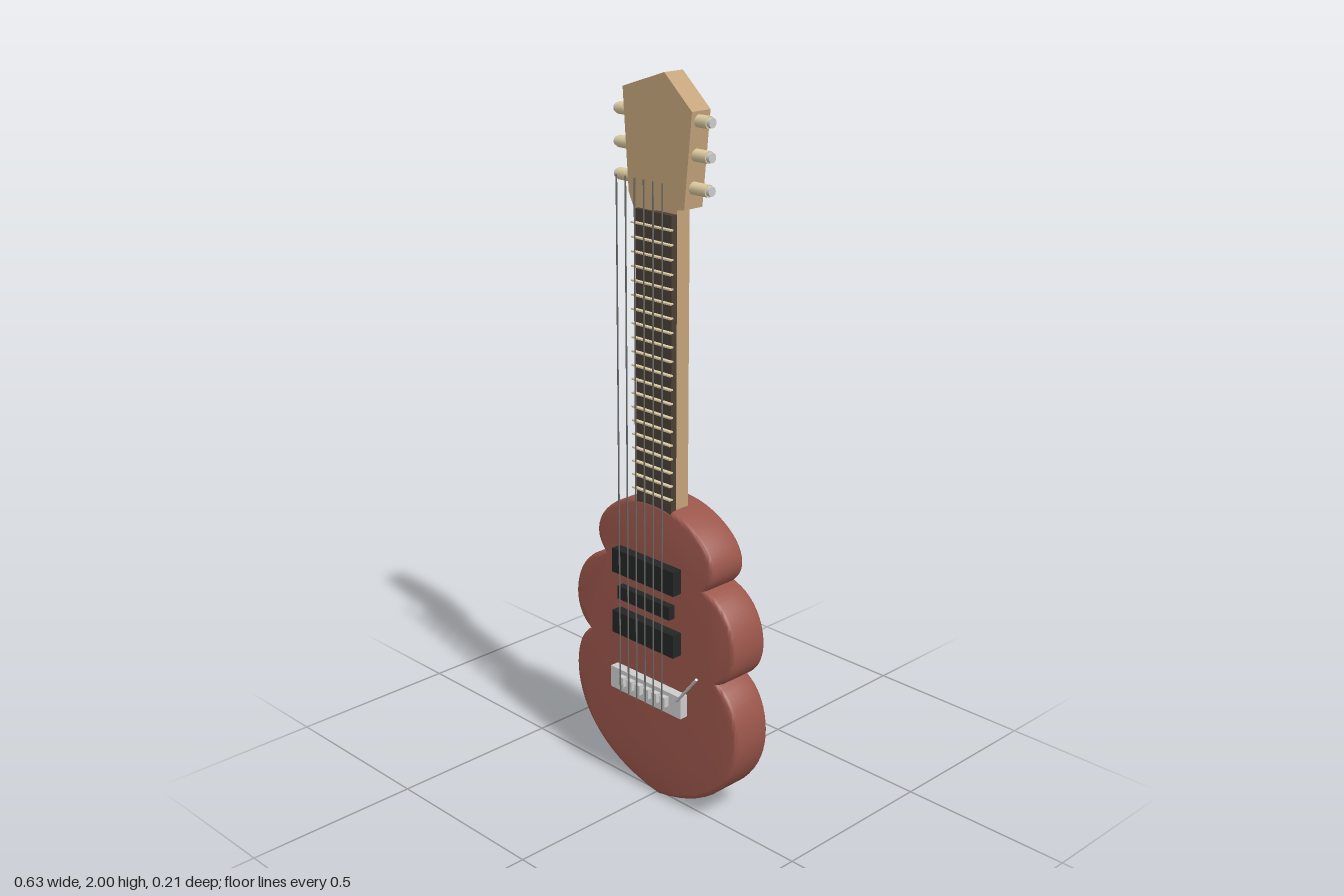
import * as THREE from 'three';
import { toCreasedNormals } from 'three/addons/utils/BufferGeometryUtils.js';

const mat = (color) => new THREE.MeshStandardMaterial({ color });
const red = mat(0x9b564b), wood = mat(0xc4a47a), dark = mat(0x4a4036), black = mat(0x242626);
const ivory = mat(0xdccba0), metal = mat(0xc0c0bc), steel = mat(0x6a6a68);

export function createModel() {
  const guitar = new THREE.Group();

  const add = (name, geometry, material, x = 0, y = 0, z = 0) => {
    const mesh = new THREE.Mesh(geometry, material);
    mesh.name = name;
    mesh.position.set(x, y, z);
    guitar.add(mesh);
    return mesh;
  };
  // Box given by its limits on each axis
  const box = (name, material, x0, x1, y0, y1, z0, z1) =>
    add(name, new THREE.BoxGeometry(x1 - x0, y1 - y0, z1 - z0), material,
      (x0 + x1) / 2, (y0 + y1) / 2, (z0 + z1) / 2);
  // Smooth round bar between two points
  const rod = (name, material, a, b, radius, sides = 8) => {
    const from = new THREE.Vector3(...a), to = new THREE.Vector3(...b);
    const dir = to.clone().sub(from);
    const mesh = add(name, new THREE.CylinderGeometry(radius, radius, dir.length(), sides), material);
    mesh.position.copy(from).add(to).multiplyScalar(0.5);
    mesh.quaternion.setFromUnitVectors(new THREE.Vector3(0, 1, 0), dir.normalize());
    return mesh;
  };

  // Body: three pairs of rounded lobes with a softened rim
  const outline = new THREE.Shape();
  outline.moveTo(-0.01, 0.877);
  outline.bezierCurveTo(-0.15, 0.88, -0.285, 0.76, -0.195, 0.68);
  outline.bezierCurveTo(-0.33, 0.64, -0.35, 0.47, -0.26, 0.425);
  outline.bezierCurveTo(-0.36, 0.37, -0.365, 0.06, 0.01, 0.004);
  outline.bezierCurveTo(0.375, 0.06, 0.35, 0.37, 0.235, 0.425);
  outline.bezierCurveTo(0.335, 0.47, 0.305, 0.65, 0.185, 0.68);
  outline.bezierCurveTo(0.275, 0.76, 0.14, 0.88, -0.01, 0.877);
  const bevel = 0.012;
  const bodyGeometry = new THREE.ExtrudeGeometry(outline, {
    depth: 0.122 - 2 * bevel, curveSegments: 24,
    bevelThickness: bevel, bevelSize: bevel, bevelOffset: -bevel, bevelSegments: 3,
  });
  add('body', toCreasedNormals(bodyGeometry, 0.6), red, 0, 0, -0.105 + bevel);

  // Neck, fretboard and frets
  box('neck', wood, -0.068, 0.061, 0.86, 1.68, -0.048, -0.003);
  box('fretboard', dark, -0.067, 0.062, 0.86, 1.655, -0.003, 0.016);
  const frets = 20;
  for (let i = 0; i < frets; i++) {
    const y = 0.905 + (i * 0.715) / (frets - 1);
    box('fret', ivory, -0.073, 0.068, y - 0.002, y + 0.002, 0.015, 0.027);
  }

  // Headstock: lopsided slab
  const head = new THREE.Shape([
    [-0.122, 1.952], [-0.102, 1.69], [-0.08, 1.645], [0.095, 1.672], [0.12, 1.915], [0.025, 2],
  ].map(([x, y]) => new THREE.Vector2(x, y)));
  add('headstock', new THREE.ExtrudeGeometry(head, { depth: 0.064, bevelEnabled: false }), wood, 0, 0, -0.058);

  // Tuning pegs with metal end caps
  for (const y of [1.725, 1.807, 1.891]) {
    for (const side of [-1, 1]) {
      const at = (d) => [side * d - 0.003, y, -0.02];
      rod('tuningPeg', ivory, at(0.085), at(0.158), 0.016, 16);
      rod('pegCap', metal, at(0.155), at(0.168), 0.0125, 16);
    }
  }

  // Pickups
  box('neckPickup', black, -0.122, 0.112, 0.655, 0.724, 0.027, 0.057);
  box('middlePickup', black, -0.103, 0.095, 0.58, 0.618, 0.034, 0.055);
  box('bridgePickup', black, -0.122, 0.112, 0.475, 0.541, 0.027, 0.057);

  // Bridge and tremolo arm
  box('bridge', metal, -0.14, 0.132, 0.298, 0.362, 0.022, 0.048);
  rod('tremoloArm', metal, [0.115, 0.345, 0.045], [0.24, 0.475, 0.098], 0.004);

  // Strings, each over its own saddle
  for (let i = 0; i < 6; i++) {
    const x = -0.085 + i * 0.0325;
    box('saddle', metal, x - 0.01, x + 0.01, 0.322, 0.35, 0.046, 0.063);
    rod('string', steel, [x, 0.305, 0.064], [x, 1.745, 0.064], 0.0022, 6);
  }

  return guitar;
}
